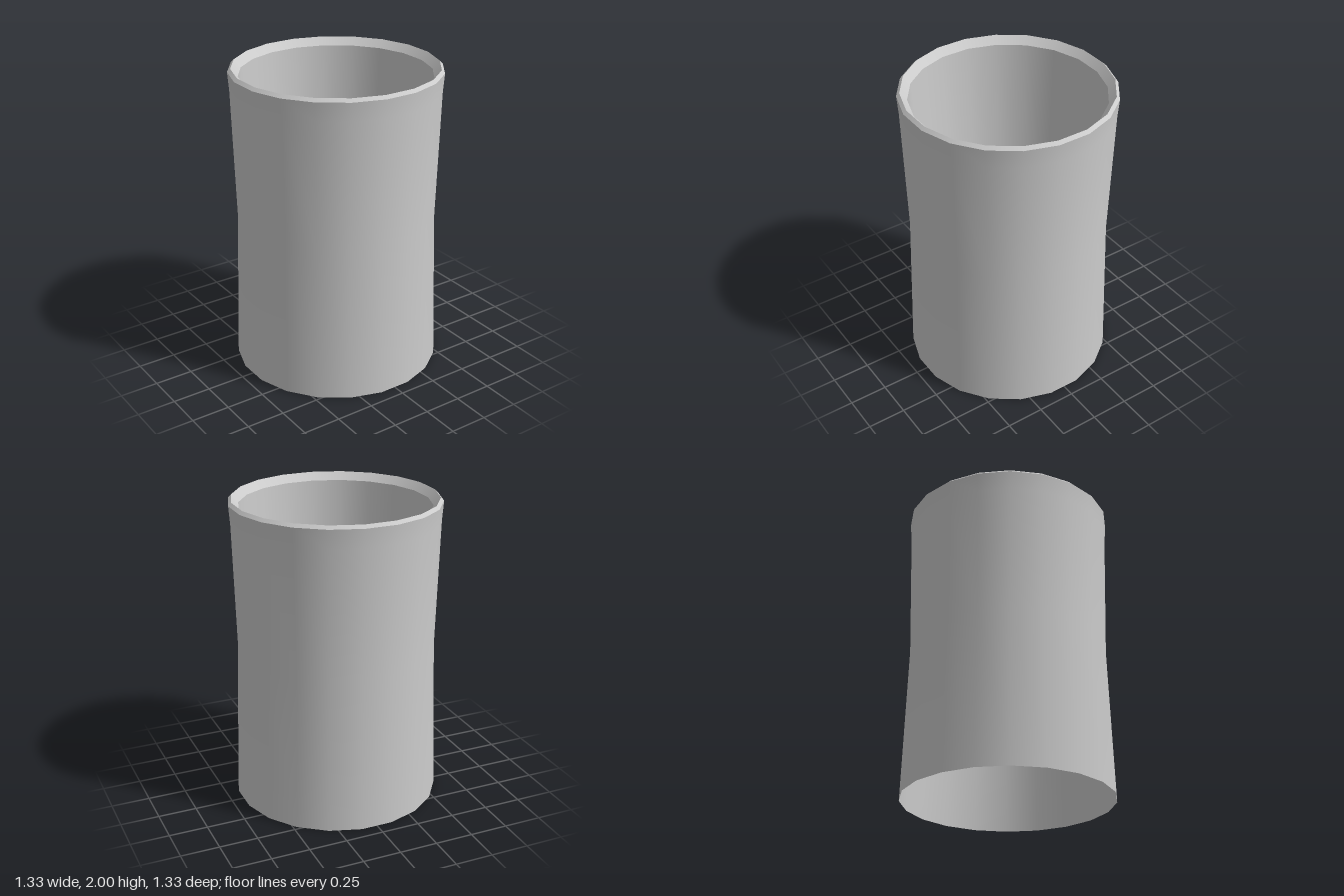
import * as THREE from 'three';

const SIDES = 20;
const START = Math.PI / SIDES; // turns a flat facet towards each axis

const material = new THREE.MeshStandardMaterial({ color: 0xcccccc, side: THREE.DoubleSide });

// Revolve a [radius, height] profile; separate bands keep their shared edges sharp
function band(name, profile) {
  const points = profile.map(([r, y]) => new THREE.Vector2(r, y));
  const mesh = new THREE.Mesh(new THREE.LatheGeometry(points, SIDES, START), material);
  mesh.name = name;
  return mesh;
}

export function createModel() {
  const group = new THREE.Group();
  group.name = 'openContainer';

  const rimOuter = [0.674, 1.98];
  const rimTop = [0.654, 2];
  const rimInner = [0.61, 1.95];
  const floorRadius = 0.565;
  const floorHeight = 1.0;

  // Waisted outer wall, open underneath
  group.add(band('outerWall', [[0.675, 0], [0.643, 1.02], [0.665, 1.86], rimOuter]));

  // Rim: outward bevel and inward bevel
  group.add(band('rimOuterBevel', [rimOuter, rimTop]));
  group.add(band('rimInnerBevel', [rimTop, rimInner]));

  // Inner wall tapering down to a raised floor
  group.add(band('innerWall', [rimInner, [floorRadius, floorHeight]]));

  const floor = new THREE.Mesh(new THREE.CircleGeometry(floorRadius, SIDES, START), material);
  floor.name = 'innerFloor';
  floor.rotation.x = -Math.PI / 2;
  floor.position.y = floorHeight;
  group.add(floor);

  return group;
}
